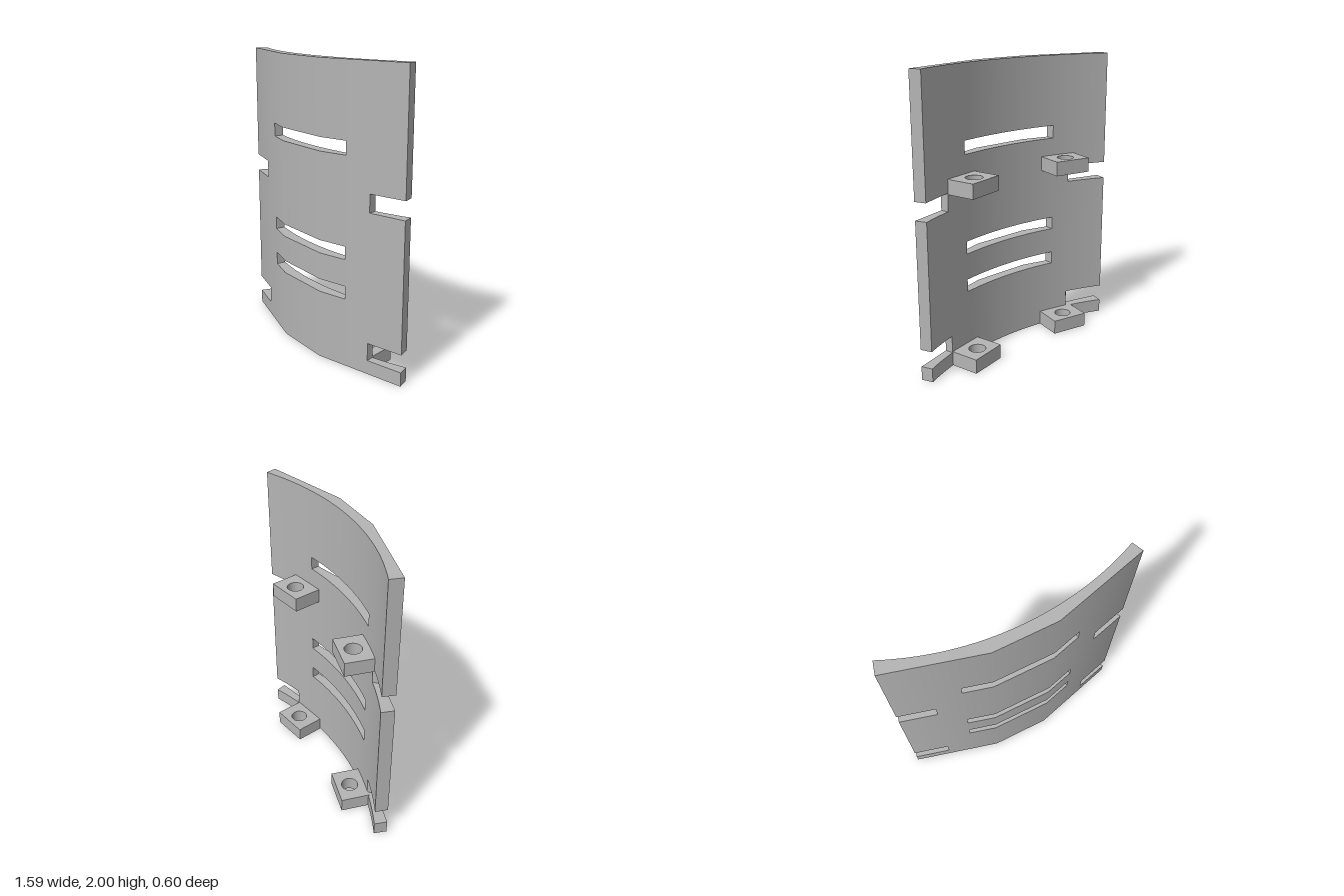
import * as THREE from 'three';

const steel = new THREE.MeshStandardMaterial({ color: 0xb4b4b4 });
steel.name = 'plain grey';

// Back of the plate is an arc; front is three straight facets.
const CX = 0.585, CZ = -1.73, R = 1.957;
const backZ = x => CZ + Math.sqrt(R * R - (x - CX) ** 2);
const FACETS = [[-0.795, -0.22], [-0.26, 0.13], [0.14, 0.262], [0.793, 0.297]];
const frontZ = x => {
  const i = x < FACETS[1][0] ? 0 : x < FACETS[2][0] ? 1 : 2;
  const [x0, z0] = FACETS[i], [x1, z1] = FACETS[i + 1];
  return z0 + (z1 - z0) * (x - x0) / (x1 - x0);
};

function plateGeometry() {
  // Stations across the plate: [front x, back x]
  const stations = [[-0.795, -0.745], [-0.58, -0.513], [-0.425, -0.402], [-0.26, -0.225],
    [0.14, 0.16], [0.35, 0.355], [0.535, 0.54], [0.793, 0.785]];
  const SUB = 5;
  const cols = [];
  for (let s = 0; s < stations.length - 1; s++)
    for (let k = 0; k < SUB; k++)
      cols.push([0, 1].map(e => stations[s][e] + (stations[s + 1][e] - stations[s][e]) * k / SUB));
  cols.push(stations[stations.length - 1]);
  const rows = [0, 0.095, 0.215, 0.472, 0.56, 0.742, 0.83, 1.085, 1.205, 1.42, 1.51, 2];

  // Edge notches and three slots are cells left out of the grid
  const solid = (i, j) => {
    if (i < 0 || j < 0 || i >= cols.length - 1 || j >= rows.length - 1) return false;
    const s = Math.floor(i / SUB);
    if (j === 1 || j === 7) return s > 0 && s < 6;
    if (j === 3 || j === 5 || j === 9) return s < 2 || s > 4;
    return true;
  };

  const pos = [], nor = [];
  const front = (i, j) => new THREE.Vector3(cols[i][0], rows[j], frontZ(cols[i][0]));
  const back = (i, j) => new THREE.Vector3(cols[i][1], rows[j], backZ(cols[i][1]));
  const radial = (p, sign) => new THREE.Vector3(p.x - CX, 0, p.z - CZ).normalize().multiplyScalar(sign);
  // Quad facing `out`; curved faces take radial normals
  const quad = (pts, out, sign = 0) => {
    const n = pts[1].clone().sub(pts[0]).cross(pts[2].clone().sub(pts[0])).normalize();
    if (n.dot(out) < 0) { pts.reverse(); n.negate(); }
    for (const k of [0, 1, 2, 0, 2, 3]) {
      pos.push(...pts[k].toArray());
      nor.push(...(sign ? radial(pts[k], sign) : n).toArray());
    }
  };

  const X = new THREE.Vector3(1, 0, 0), Y = new THREE.Vector3(0, 1, 0), Z = new THREE.Vector3(0, 0, 1);
  for (let i = 0; i < cols.length - 1; i++)
    for (let j = 0; j < rows.length - 1; j++) {
      if (!solid(i, j)) continue;
      const ring = f => [f(i, j), f(i + 1, j), f(i + 1, j + 1), f(i, j + 1)];
      quad(ring(front), Z, 1);
      quad(ring(back), Z.clone().negate(), -1);
      for (const d of [0, 1]) {
        const side = d ? 1 : -1;
        if (!solid(i + side, j))
          quad([front(i + d, j), back(i + d, j), back(i + d, j + 1), front(i + d, j + 1)], X.clone().multiplyScalar(side));
        if (!solid(i, j + side))
          quad([front(i, j + d), front(i + 1, j + d), back(i + 1, j + d), back(i, j + d)], Y.clone().multiplyScalar(side));
      }
    }
  const g = new THREE.BufferGeometry();
  g.setAttribute('position', new THREE.Float32BufferAttribute(pos, 3));
  g.setAttribute('normal', new THREE.Float32BufferAttribute(nor, 3));
  return g;
}

// Lug with a vertical bolt hole, its front edge sunk slightly into the plate
function lugGeometry() {
  const w = 0.134, d = 0.097, sink = 0.008;
  const shape = new THREE.Shape([[-w, -d - sink], [w, -d - sink], [w, d], [-w, d]].map(p => new THREE.Vector2(...p)));
  shape.holes.push(new THREE.Path().absarc(0, 0, 0.058, 0, Math.PI * 2, true));
  return new THREE.ExtrudeGeometry(shape, { depth: 0.1, bevelEnabled: false, curveSegments: 32 }).rotateX(-Math.PI / 2);
}

export function createModel() {
  const model = new THREE.Group();
  model.name = 'slottedCurvedPlate';
  const add = (geometry, name) => {
    const mesh = new THREE.Mesh(geometry, steel);
    mesh.name = name;
    model.add(mesh);
    return mesh;
  };
  add(plateGeometry(), 'curvedPlate');

  const lug = lugGeometry();
  for (const [level, y] of [['lower', 0], ['upper', 1.196]])
    for (const [side, x, z, angle] of [['Right', -0.38, -0.149, 0.525], ['Left', 0.414, 0.109, 0.11]]) {
      const mesh = add(lug, level + side + 'Lug');
      mesh.position.set(x, y, z);
      mesh.rotation.y = -angle;
    }
  return model;
}
